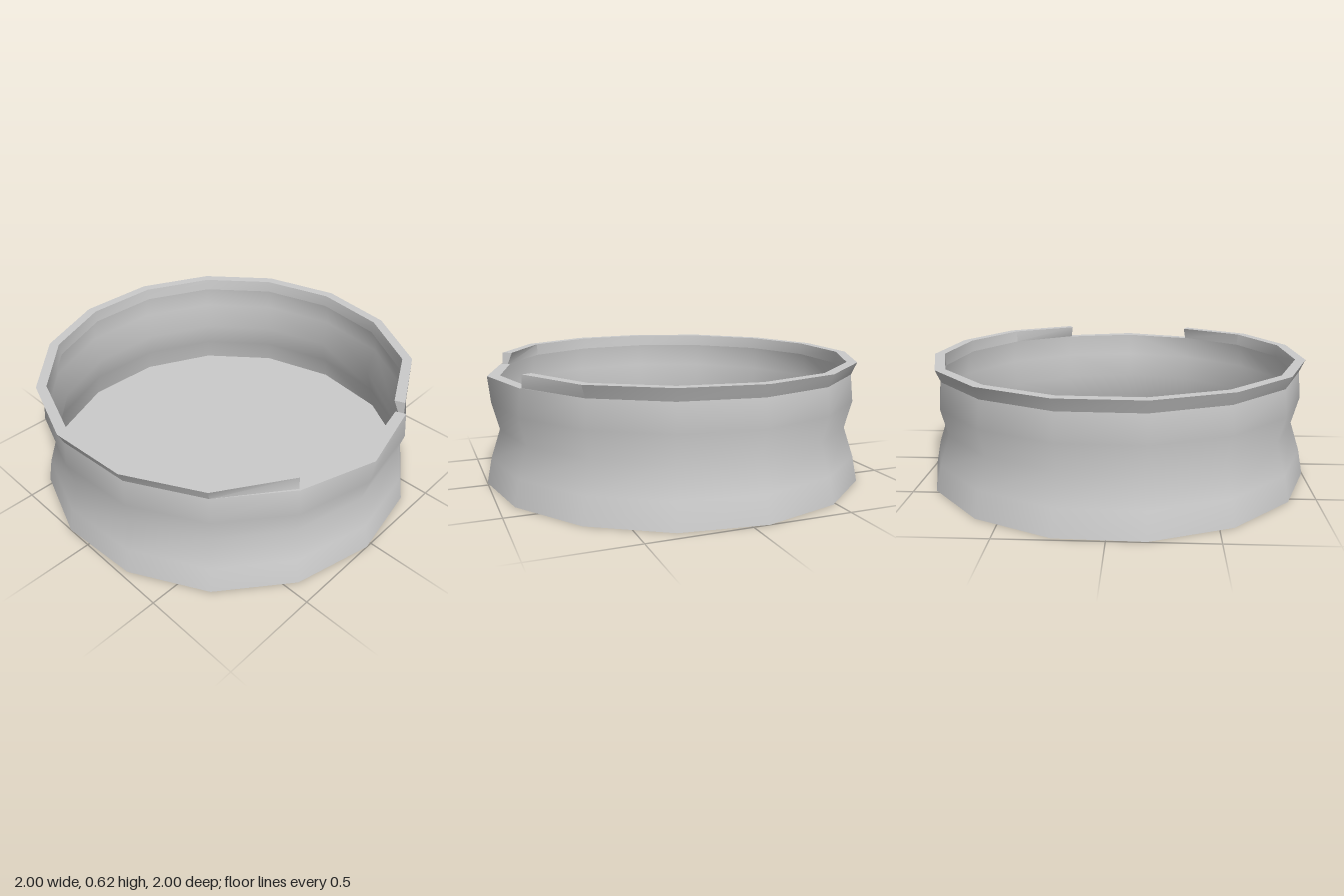
import * as THREE from 'three';
import { toCreasedNormals } from 'three/addons/utils/BufferGeometryUtils.js';

const SIDES = 15;
const TURN = -1.8 * Math.PI / 180;
const BASE_RADIUS = 1.006;
const material = new THREE.MeshStandardMaterial({ color: 0xcccccc, side: THREE.DoubleSide });

// Corner k of the polygon at radius r and height y; the dish leans very slightly to its right
function corner(k, r, y) {
  const a = TURN + k * 2 * Math.PI / SIDES;
  return [r * Math.sin(a) - 0.003 - 0.007 * y, y, r * Math.cos(a) - 0.006];
}

// Skin between rows of points; a closed skin joins its last column to the first
function skin(rows, closed = false) {
  const n = rows[0].length;
  const index = [];
  for (let j = 0; j < rows.length - 1; j++) {
    for (let i = 0; i < (closed ? n : n - 1); i++) {
      const a = j * n + i, b = j * n + (i + 1) % n;
      index.push(a, b, b + n, a, b + n, a + n);
    }
  }
  const geometry = new THREE.BufferGeometry();
  geometry.setAttribute('position', new THREE.Float32BufferAttribute(rows.flat(2), 3));
  geometry.setIndex(index);
  geometry.computeVertexNormals();
  return geometry;
}

export function createModel() {
  const group = new THREE.Group();
  const add = (name, geometry) => {
    const mesh = new THREE.Mesh(geometry, material);
    mesh.name = name;
    group.add(mesh);
  };
  const columns = (from, to) => Array.from({ length: to - from + 1 }, (_, i) => from + i);

  // Flat bottom
  const base = new THREE.CircleGeometry(BASE_RADIUS, SIDES, Math.PI / 2 - TURN);
  base.rotateX(Math.PI / 2).translate(-0.003, 0, -0.006);
  add('base', base);

  // Waisted thin wall; its top flares out at the middle of the front notch
  const profile = [[BASE_RADIUS, 0], [0.98, 0.13], [0.93, 0.28], [0.966, 0.42], [0.952, 0.557]];
  add('wall', skin(profile.map(([r, y], j) =>
    columns(0, SIDES - 1).map(k => corner(k, j === 4 && k === 0 ? 0.98 : r, y))), true));

  // Raised rim around all but the notch, drawn inward at both ends
  const section = [[0.952, 0.557], [0.98, 0.62], [0.928, 0.62], [0.922, 0.557], [0.952, 0.557]];
  const rimPoint = (k, [r, y]) => {
    const isEnd = k === 1 || k === SIDES - 1;
    return corner(k, isEnd ? r - (y > 0.6 ? 0.042 : 0.01) : r, y);
  };
  const rim = skin(section.map(p => columns(1, SIDES - 1).map(k => rimPoint(k, p))));
  add('rim', toCreasedNormals(rim, 0.6));

  // Notch ends
  for (const [k, name] of [[1, 'leftNotchEnd'], [SIDES - 1, 'rightNotchEnd']]) {
    const [a, b, c, d] = section.map(p => rimPoint(k, p));
    add(name, skin(k === 1 ? [[d, a], [c, b]] : [[a, d], [b, c]]));
  }

  // Low ledge across the notch
  add('notchLedge', skin([[0.952, 0.98, 0.952], [0.9, 0.915, 0.9]].map(radii =>
    radii.map((r, i) => corner(i - 1, r, 0.557)))));

  return group;
}
